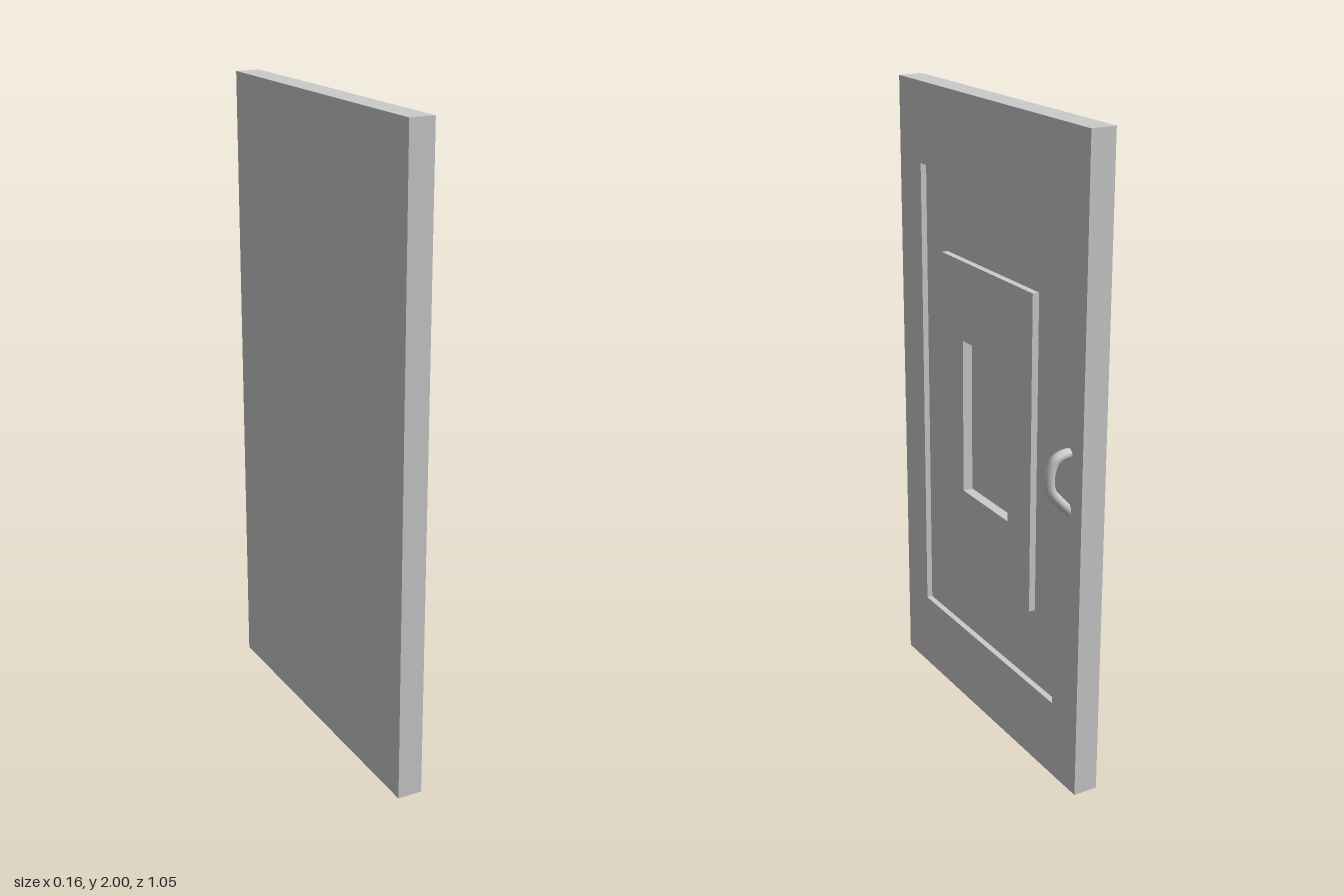
import * as THREE from 'three';

const material = new THREE.MeshStandardMaterial({ color: 0xcccccc });

function add(group, name, geometry) {
  const mesh = new THREE.Mesh(geometry, material);
  mesh.name = name;
  group.add(mesh);
}

// Upright rectangle centred on the door's middle height
function rectangle(PathType, halfWidth, halfHeight) {
  const path = new PathType();
  path.moveTo(-halfWidth, 1 - halfHeight);
  path.lineTo(halfWidth, 1 - halfHeight);
  path.lineTo(halfWidth, 1 + halfHeight);
  path.lineTo(-halfWidth, 1 + halfHeight);
  path.closePath();
  return path;
}

// Layer lying in the yz plane from x0 to x1, with an optional rectangular opening
function layer(outer, inner, x0, x1) {
  const shape = rectangle(THREE.Shape, ...outer);
  if (inner) shape.holes.push(rectangle(THREE.Path, ...inner));
  const geometry = new THREE.ExtrudeGeometry(shape, { depth: x1 - x0, bevelEnabled: false });
  return geometry.rotateY(Math.PI / 2).translate(x0, 0, 0);
}

export function createModel() {
  const door = new THREE.Group();
  door.name = 'door';

  // Half width and half height of each nested rectangle
  const edge = [0.527, 1];
  const outerPanel = [0.395, 0.75];
  const middlePanel = [0.262, 0.5];
  const innerPanel = [0.135, 0.25];

  // Solid back, whose front is the floor of the innermost recess
  const floor = -0.032;
  add(door, 'backSlab', layer(edge, null, -0.08, floor));
  add(door, 'outerFrame', layer(edge, outerPanel, floor, -0.002));
  add(door, 'recessedPanel', layer(outerPanel, middlePanel, floor, -0.021));
  add(door, 'raisedPanel', layer(middlePanel, innerPanel, floor, 0));

  // Bent pull handle
  const points = [
    [-0.012, 1.088], [0.02, 1.087], [0.045, 1.076], [0.06, 1.045],
    [0.063, 1.015], [0.058, 0.985], [0.03, 0.948], [-0.012, 0.905],
  ].map(([x, y]) => new THREE.Vector3(x, y, -0.459));
  const curve = new THREE.CatmullRomCurve3(points, false, 'centripetal');
  add(door, 'handle', new THREE.TubeGeometry(curve, 28, 0.016, 12));

  return door;
}
